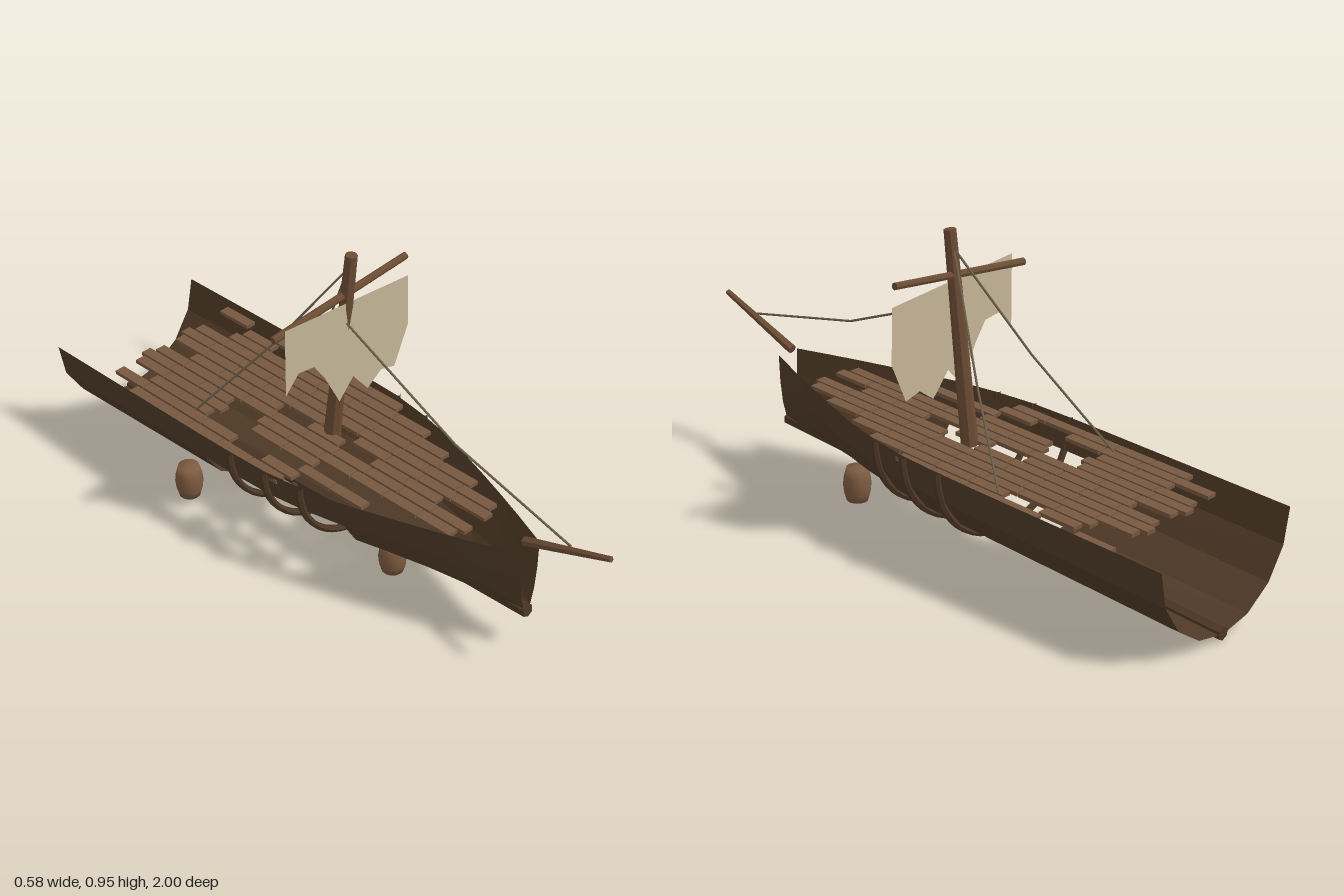
import * as THREE from 'three';

const mat = (name, color, extra = {}) => Object.assign(new THREE.MeshStandardMaterial({ color, ...extra }), { name });
const V = (x, y, z) => new THREE.Vector3(x, y, z);

// half width of the hull along z, bow at +z
const STATIONS = [[-1, 0.275], [-0.34, 0.275], [-0.2, 0.273], [-0.06, 0.268], [0.07, 0.25], [0.2, 0.222],
  [0.3, 0.19], [0.4, 0.157], [0.5, 0.122], [0.6, 0.085], [0.72, 0.038]];
function halfWidth(z) {
  for (let i = 1; i < STATIONS.length; i++) {
    const [z0, w0] = STATIONS[i - 1], [z1, w1] = STATIONS[i];
    if (z <= z1) return w0 + (w1 - w0) * (z - z0) / (z1 - z0);
  }
  return 0.038;
}
const gunwaleY = z => 0.342 + 0.032 * z;
const keelY = z => 0.092 + 0.066 * z;
// point on the rounded section, a = 0 at the gunwale and PI/2 at the keel
function hullPoint(side, a, z, grow = 0) {
  const depth = gunwaleY(z) - keelY(z) + grow;
  return V(side * (halfWidth(z) + grow) * Math.cos(a), gunwaleY(z) - depth * Math.sin(a), z);
}

export function createModel() {
  const model = new THREE.Group();
  model.name = 'wreckedShip';
  const hullWood = mat('dark hull wood', 0x503a27, { side: THREE.DoubleSide, flatShading: true });
  const frameWood = mat('frame wood', 0x4d3725, { flatShading: true });
  const sparWood = mat('spar wood', 0x6b4c34, { flatShading: true });
  const deckWood = mat('deck wood', 0x775840);
  const barrelWood = mat('barrel wood', 0x7d5b40);
  const cloth = mat('sail cloth', 0xc4b598, { side: THREE.DoubleSide });
  const ropeFibre = mat('rope', 0x6f6350);

  const add = (name, geo, material, parent = model) => {
    const mesh = new THREE.Mesh(geo, material);
    mesh.name = name;
    parent.add(mesh);
    return mesh;
  };
  const group = name => {
    const g = new THREE.Group();
    g.name = name;
    model.add(g);
    return g;
  };
  // straight tapered rod between two points
  const rod = (name, a, b, ra, rb, sides, material, parent) => {
    const mesh = add(name, new THREE.CylinderGeometry(rb, ra, a.distanceTo(b), sides), material, parent);
    mesh.position.copy(a).add(b).multiplyScalar(0.5);
    mesh.quaternion.setFromUnitVectors(V(0, 1, 0), b.clone().sub(a).normalize());
    return mesh;
  };

  // hull strakes, four per side, with a breach low on the right side
  const hull = group('hull');
  for (const side of [1, -1]) {
    for (let j = 0; j < 4; j++) {
      const pos = [];
      for (let i = 1; i < STATIONS.length; i++) {
        const z0 = STATIONS[i - 1][0], z1 = STATIONS[i][0];
        if (side < 0 && j > 0 && z0 >= -0.34 && z1 <= 0.2) continue;
        const a0 = j * Math.PI / 8, a1 = a0 + Math.PI / 8;
        const a = hullPoint(side, a0, z0), b = hullPoint(side, a0, z1);
        const c = hullPoint(side, a1, z1), d = hullPoint(side, a1, z0);
        const quad = side > 0 ? [a, b, c, a, c, d] : [a, c, b, a, d, c];
        quad.forEach(p => pos.push(p.x, p.y, p.z));
      }
      const geo = new THREE.BufferGeometry();
      geo.setAttribute('position', new THREE.Float32BufferAttribute(pos, 3));
      // wind outwards
      for (let k = 0; k < pos.length; k += 9) {
        for (let n = 0; n < 3; n++) [pos[k + 3 + n], pos[k + 6 + n]] = [pos[k + 6 + n], pos[k + 3 + n]];
      }
      geo.setAttribute('position', new THREE.Float32BufferAttribute(pos, 3));
      geo.computeVertexNormals();
      add('strake', geo, hullWood, hull);
    }
  }

  // keel beam
  rod('keel', V(0, 0.027, -1), V(0, 0.14, 0.725), 0.021, 0.021, 6, frameWood);

  // curved frames hugging the hull
  const frames = group('frames');
  for (const z of [-0.2, -0.06, 0.07]) {
    const points = [];
    for (let i = 0; i <= 16; i++) points.push(hullPoint(1, i * Math.PI / 16, z, 0.006));
    add('frame', new THREE.TubeGeometry(new THREE.CatmullRomCurve3(points), 24, 0.011, 6), frameWood, frames);
  }

  // broken deck, rows from stern to bow
  const deck = group('deck');
  const rows = ['.#.###.###..#', '############.', '###########.#', '##...########', '#..###.######',
    '##.####.#####', '#.#.##.######', '.##.#########', '....#########', '....##.###...'];
  const plank = new THREE.BoxGeometry(0.034, 0.012, 0.128);
  rows.forEach((row, r) => [...row].forEach((cell, c) => {
    const x = (c - 6) * 0.0408, z = -0.734 + r * 0.132 + (c % 2 ? 0.01 : -0.01);
    if (cell !== '#' || Math.abs(x) + 0.012 > halfWidth(z + 0.05)) return;
    const mesh = add('plank', plank, deckWood, deck);
    mesh.position.set(x, gunwaleY(z) - 0.022, z);
    mesh.rotation.x = -0.032;
  }));

  // mast, yard and bowsprit
  rod('mast', V(0.023, 0.305, -0.083), V(0.046, 0.953, -0.026), 0.026, 0.018, 8, sparWood);
  rod('yard', V(-0.238, 0.79, -0.046), V(0.274, 0.845, -0.036), 0.012, 0.011, 8, sparWood);
  rod('bowsprit', V(0, 0.378, 0.7), V(0, 0.493, 0.997), 0.015, 0.009, 6, sparWood);

  // torn sail
  const outline = [[-0.21, 0.817], [0.275, 0.78], [0.28, 0.61], [0.225, 0.485], [0.17, 0.5], [0.115, 0.46],
    [0.055, 0.532], [0, 0.47], [-0.06, 0.585], [-0.1, 0.642], [-0.16, 0.65], [-0.21, 0.595]];
  const sail = new THREE.Shape(outline.map(p => new THREE.Vector2(...p)));
  add('sail', new THREE.ShapeGeometry(sail), cloth).position.z = -0.027;

  // rigging
  const rigging = group('rigging');
  const stays = [
    [V(0.03, 0.73, -0.03), V(0.012, 0.55, 0.42), V(0, 0.455, 0.86)],
    [V(0.045, 0.9, -0.04), V(-0.07, 0.6, -0.235), V(-0.195, 0.325, -0.44)],
    [V(0.045, 0.9, -0.04), V(0.15, 0.575, -0.23), V(0.232, 0.325, -0.39)],
  ];
  for (const stay of stays) {
    for (let i = 0; i < 2; i++) rod('rope', stay[i], stay[i + 1], 0.0035, 0.0035, 6, ropeFibre, rigging);
  }

  // barrels lying around the wreck
  const barrels = group('barrels');
  const profile = [[0, 0], [0.033, 0], [0.04, 0.025], [0.043, 0.053], [0.04, 0.08], [0.033, 0.106], [0, 0.106]];
  const barrelGeo = new THREE.LatheGeometry(profile.map(p => new THREE.Vector2(...p)), 14);
  for (const [x, z] of [[0.115, 0.295], [-0.055, 0.25], [-0.245, -0.43]]) {
    add('barrel', barrelGeo, barrelWood, barrels).position.set(x, 0.038, z);
  }
  return model;
}
